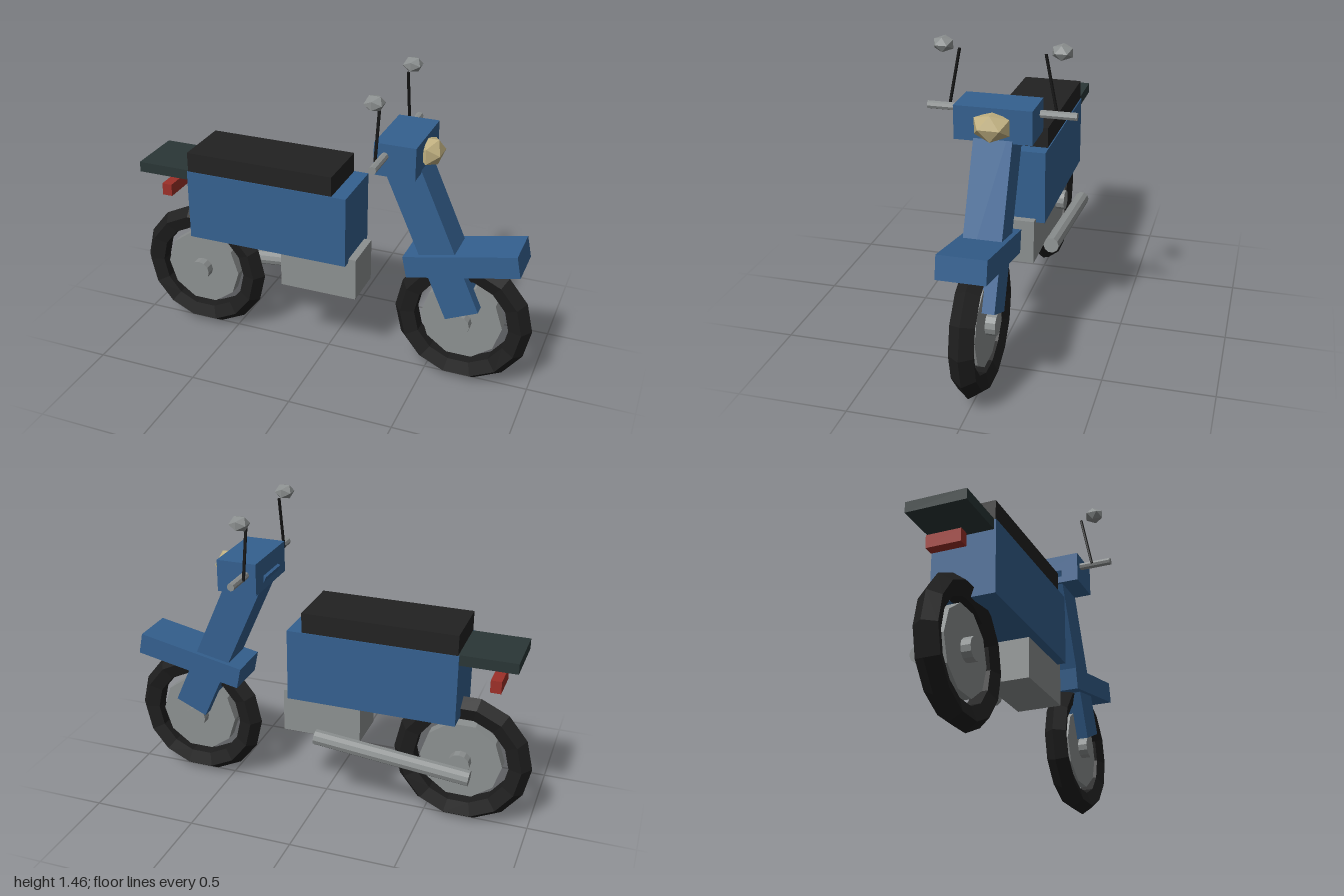
import * as THREE from 'three';

const mat = (color) => new THREE.MeshStandardMaterial({ color, flatShading: true });
const blue = mat(0x34608f);
const black = mat(0x222222);
const rubber = mat(0x1e1e1e);
const rackGreen = mat(0x2a3636);
const red = mat(0x9c3028);
const metal = mat(0x8c9090);
const darkMetal = mat(0x151515);
const lampGlass = mat(0xc0b080);

export function createModel() {
  const model = new THREE.Group();
  model.name = 'moped';

  const add = (name, geometry, material, x, y, z, parent = model) => {
    const mesh = new THREE.Mesh(geometry, material);
    mesh.name = name;
    mesh.position.set(x, y, z);
    parent.add(mesh);
    return mesh;
  };
  const box = (name, w, h, d, material, x, y, tilt = 0) => {
    const mesh = add(name, new THREE.BoxGeometry(w, h, d), material, x, y, 0);
    mesh.rotation.z = tilt;
    return mesh;
  };
  // round bar between two points
  const bar = (name, a, b, radius, sides, material) => {
    const from = new THREE.Vector3(...a);
    const to = new THREE.Vector3(...b);
    const dir = to.clone().sub(from);
    const mid = from.clone().add(to).multiplyScalar(0.5);
    const mesh = add(name, new THREE.CylinderGeometry(radius, radius, dir.length(), sides), material, mid.x, mid.y, mid.z);
    mesh.quaternion.setFromUnitVectors(new THREE.Vector3(0, 1, 0), dir.normalize());
    return mesh;
  };
  // faceted ball squashed along each axis
  const gem = (name, sx, sy, sz, material, x, y, z) =>
    add(name, new THREE.IcosahedronGeometry(1, 0).scale(sx, sy, sz), material, x, y, z);

  // wheels: tyre, disc and hub
  for (const [name, x] of [['rearWheel', -0.67], ['frontWheel', 0.67]]) {
    const wheel = new THREE.Group();
    wheel.name = name;
    wheel.position.set(x, 0.32, 0);
    model.add(wheel);
    add('tyre', new THREE.TorusGeometry(0.271, 0.057, 5, 14), rubber, 0, 0, 0, wheel);
    // turned so a corner of the disc points forward
    const disc = new THREE.CylinderGeometry(0.195, 0.195, 0.06, 10).rotateY(Math.PI / 2).rotateX(Math.PI / 2);
    add('wheelDisc', disc, metal, 0, 0, 0, wheel);
    add('hub', new THREE.CylinderGeometry(0.052, 0.052, 0.15, 12).rotateX(Math.PI / 2), metal, 0, 0, 0, wheel);
  }

  // rear body
  box('body', 0.8, 0.345, 0.3, blue, -0.26, 0.732);
  box('seat', 0.725, 0.1, 0.29, black, -0.293, 0.95);
  box('rack', 0.28, 0.05, 0.28, rackGreen, -0.78, 0.882);
  box('tailLight', 0.05, 0.06, 0.16, red, -0.817, 0.75);
  box('engine', 0.38, 0.21, 0.215, metal, -0.013, 0.472);
  bar('exhaust', [-0.74, 0.307, -0.15], [0.003, 0.38, -0.15], 0.037, 10, metal);

  // steering assembly
  box('fork', 0.165, 0.85, 0.17, blue, 0.511, 0.77, 0.42);
  box('frontFender', 0.53, 0.104, 0.213, blue, 0.67, 0.646, 0.203);
  box('headlightHousing', 0.19, 0.15, 0.342, blue, 0.37, 1.138);
  gem('headlight', 0.065, 0.068, 0.09, lampGlass, 0.48, 1.137, 0);
  bar('handlebar', [0.325, 1.157, -0.33], [0.325, 1.157, 0.33], 0.018, 8, metal);

  // mirrors on both sides
  for (const s of [1, -1]) {
    bar('mirrorStem', [0.305, 1.155, 0.238 * s], [0.305, 1.412, 0.188 * s], 0.007, 6, darkMetal);
    gem('mirror', 0.047, 0.037, 0.05, metal, 0.305, 1.427, 0.258 * s);
  }
  return model;
}
